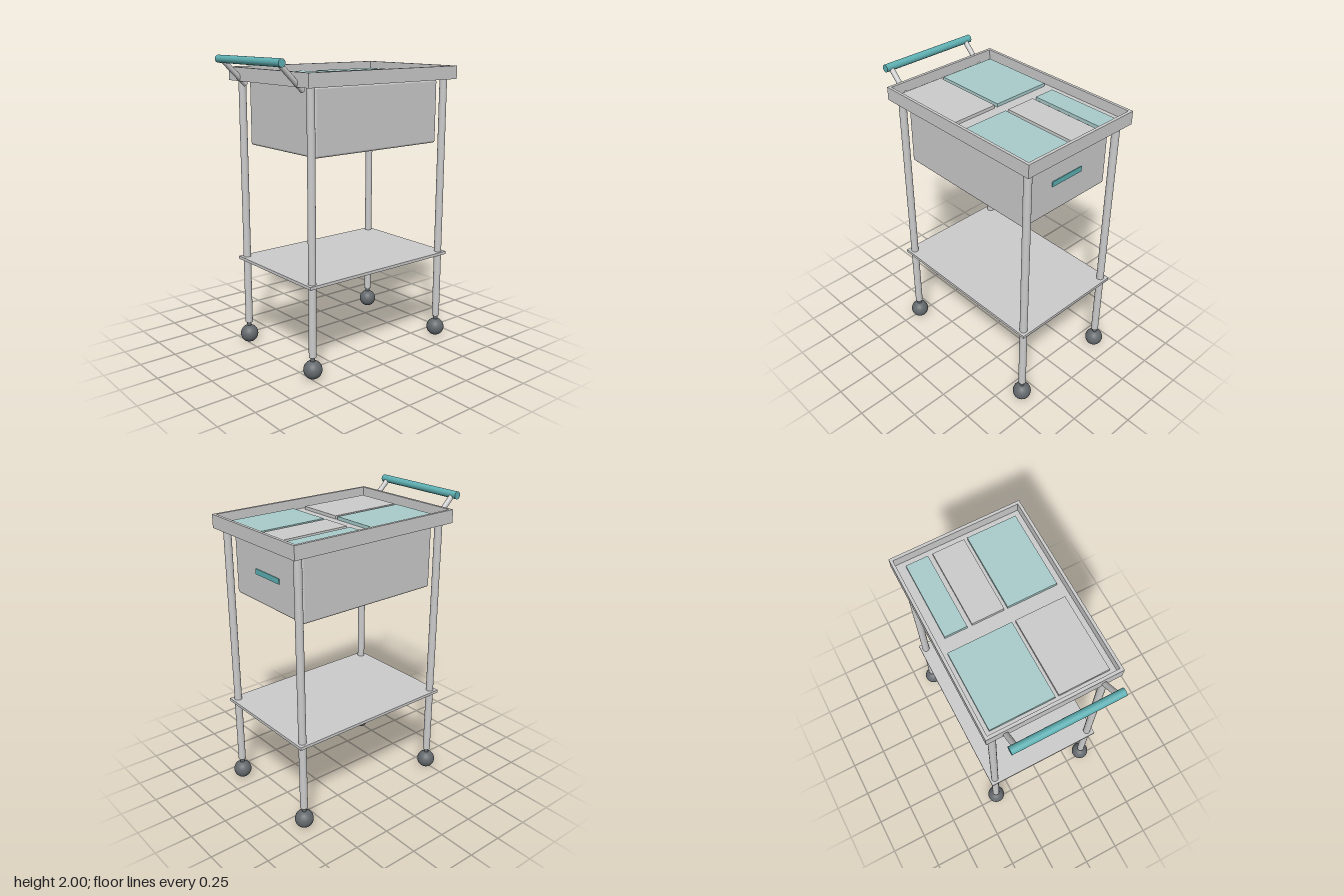
import * as THREE from 'three';
import { RoundedBoxGeometry } from 'three/addons/geometries/RoundedBoxGeometry.js';

const material = (color) => new THREE.MeshStandardMaterial({ color });
const grey = material(0xcccccc);
const teal = material(0x5fb0b3);
const paleTeal = material(0xa9cccb);
const darkGrey = material(0x64696d);

export function createModel() {
  const cart = new THREE.Group();
  cart.name = 'trolley';

  const add = (name, geometry, mat = grey, parent = cart) => {
    const mesh = new THREE.Mesh(geometry, mat);
    mesh.name = name;
    parent.add(mesh);
    return mesh;
  };
  // Box given by its minimum and maximum corners
  const box = (name, [x0, y0, z0], [x1, y1, z1], mat, parent) => {
    const mesh = add(name, new THREE.BoxGeometry(x1 - x0, y1 - y0, z1 - z0), mat, parent);
    mesh.position.set((x0 + x1) / 2, (y0 + y1) / 2, (z0 + z1) / 2);
    return mesh;
  };
  // Cylinder between two points
  const rod = (name, a, b, radius, mat, parent) => {
    const from = new THREE.Vector3(...a), to = new THREE.Vector3(...b);
    const dir = to.clone().sub(from);
    const mesh = add(name, new THREE.CylinderGeometry(radius, radius, dir.length(), 32), mat, parent);
    mesh.position.copy(from).add(to).multiplyScalar(0.5);
    mesh.quaternion.setFromUnitVectors(new THREE.Vector3(0, 1, 0), dir.normalize());
    return mesh;
  };
  const rectangle = (target, x, z) => {
    target.moveTo(-x, -z).lineTo(x, -z).lineTo(x, z).lineTo(-x, z).closePath();
    return target;
  };

  // Tray: raised rim around a floor
  const tray = new THREE.Group();
  tray.name = 'tray';
  cart.add(tray);
  const rimShape = rectangle(new THREE.Shape(), 0.6175, 0.431);
  rimShape.holes.push(rectangle(new THREE.Path(), 0.5975, 0.412));
  const rim = add('trayRim', new THREE.ExtrudeGeometry(rimShape, { depth: 0.087, bevelEnabled: false }), grey, tray);
  rim.rotation.x = -Math.PI / 2;
  rim.position.set(0.0725, 1.832, 0);
  box('trayFloor', [-0.526, 1.832, -0.413], [0.671, 1.853, 0.413], grey, tray);

  // Flat panels lying on the tray floor: x range, z range, material
  [
    [-0.49, 0.02, -0.383, 0.028, paleTeal],
    [-0.49, 0.02, 0.05, 0.375, grey],
    [0.115, 0.63, -0.354, -0.21, paleTeal],
    [0.115, 0.63, -0.18, 0.028, grey],
    [0.115, 0.63, 0.05, 0.375, paleTeal],
  ].forEach(([x0, x1, z0, z1, mat]) =>
    box('trayPanel', [x0, 1.85, z0], [x1, 1.874, z1], mat, tray));

  // Drawer with a slim pull on its end
  const drawer = add('drawer', new RoundedBoxGeometry(1.025, 0.425, 0.71, 4, 0.016));
  drawer.position.set(0.0725, 1.6175, 0);
  box('drawerPull', [0.575, 1.59, -0.125], [0.59, 1.626, 0.125], teal);

  // Lower shelf
  box('shelf', [-0.525, 0.612, -0.41], [0.667, 0.632, 0.41]);

  // Legs with ball casters
  for (const x of [-0.483, 0.626]) {
    for (const z of [-0.37, 0.37]) {
      rod('leg', [x, 0.15, z], [x, 1.835, z], 0.025);
      rod('casterStem', [x, 0.1, z], [x, 0.155, z], 0.015, darkGrey);
      add('casterBall', new THREE.SphereGeometry(0.061, 32, 20), darkGrey).position.set(x, 0.064, z);
    }
  }

  // Push handle on two slanted struts
  const handle = new THREE.Group();
  handle.name = 'pushHandle';
  cart.add(handle);
  rod('handleBar', [-0.667, 1.975, -0.35], [-0.667, 1.975, 0.35], 0.025, teal, handle);
  for (const z of [-0.31, 0.31])
    rod('handleStrut', [-0.667, 1.975, z], [-0.495, 1.808, z], 0.017, grey, handle);

  return cart;
}
